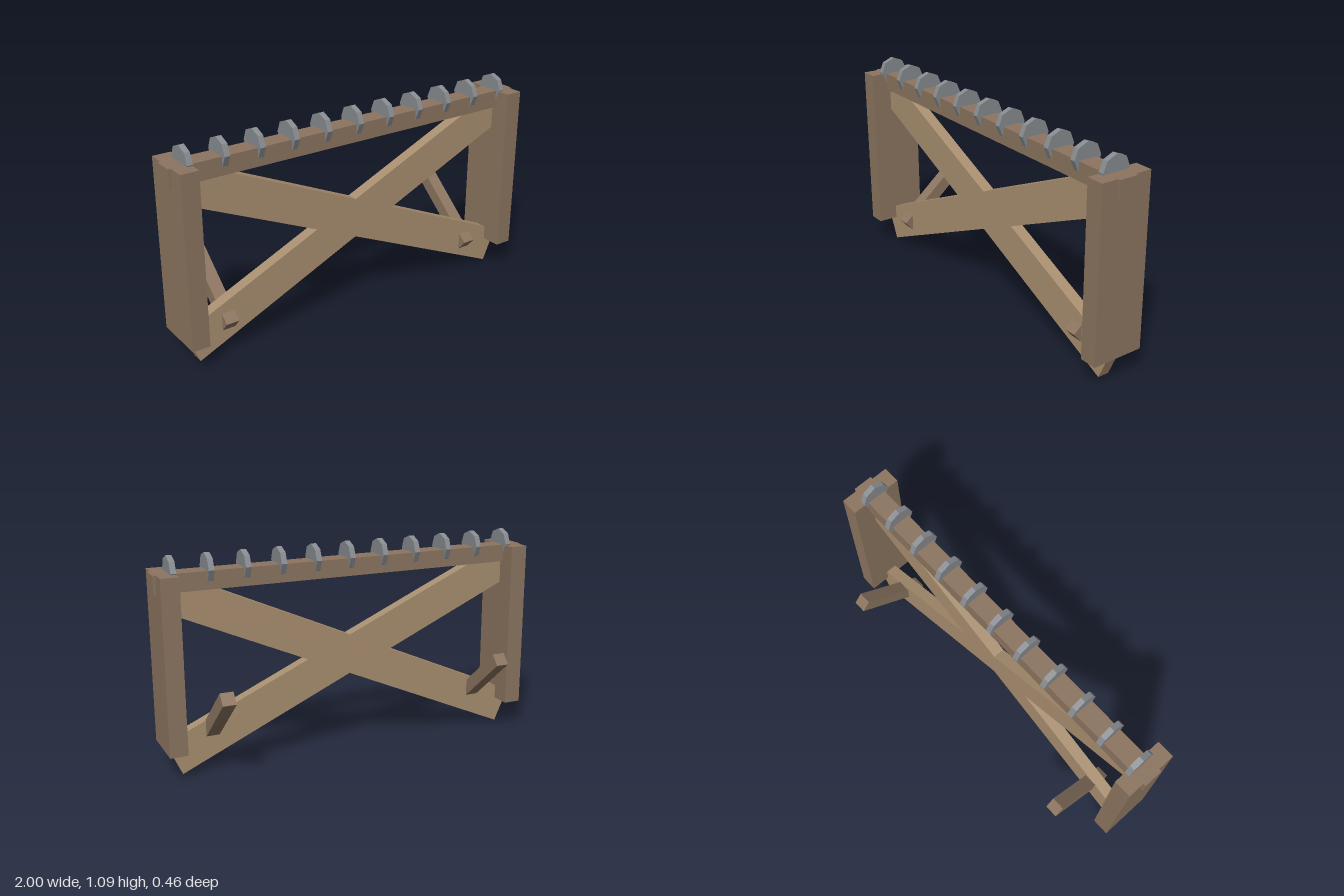
import * as THREE from 'three';

const material = (color) => new THREE.MeshStandardMaterial({ color, flatShading: true });

export function createModel() {
  const model = new THREE.Group();
  model.name = 'barricade';
  const timber = material(0x8c7560);
  const plank = material(0xa98f70);
  const iron = material(0x888c90);

  const add = (name, geometry, mat, x, y, z) => {
    const mesh = new THREE.Mesh(geometry, mat);
    mesh.name = name;
    mesh.position.set(x, y, z);
    model.add(mesh);
    return mesh;
  };
  const midZ = 0.095;

  // Top rail, its ends poking just through the posts
  add('topRail', new THREE.BoxGeometry(2, 0.09, 0.1), timber, 0, 0.965, midZ);

  for (const [side, s] of [['left', 1], ['right', -1]]) {
    // Wide upright posts
    add(side + 'Post', new THREE.BoxGeometry(0.09, 0.87, 0.27), timber, s * 0.941, 0.575, midZ);

    // Crossed diagonal planks
    const brace = add(side + 'Brace', new THREE.BoxGeometry(2.053, 0.187, 0.06), plank, 0, 0.507, midZ);
    brace.rotation.z = s * Math.atan2(0.4, 0.9);

    // Slanted pegs driven through the planks, rising to the back
    const peg = add(side + 'Peg', new THREE.BoxGeometry(0.067, 0.067, 0.466), timber, s * 0.741, 0.306, -0.03);
    peg.rotation.x = Math.atan2(0.302, 0.3555);
  }

  // Row of eight-sided iron discs set into the rail
  const disc = new THREE.CylinderGeometry(0.075, 0.075, 0.028, 8).rotateZ(Math.PI / 2);
  for (let i = -5; i <= 5; i++) {
    add('ironDisc', disc, iron, i * 0.1816, 1.015, midZ);
  }
  return model;
}
